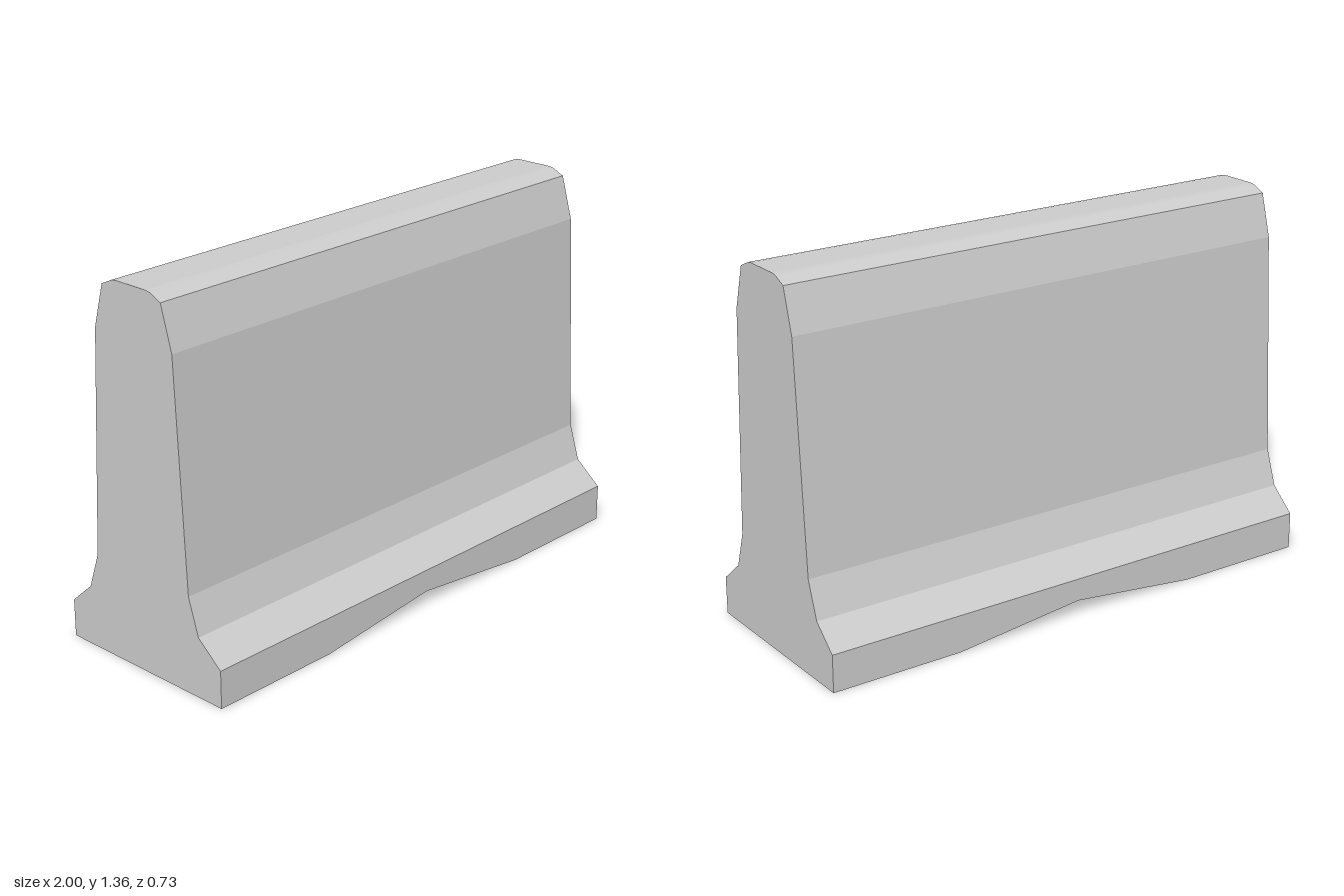
import * as THREE from 'three';

// Cross-section of the barrier: [z, y], front foot up over the top to the back foot
const PROFILE = [
  [0.366, 0], [0.366, 0.138], [0.265, 0.222], [0.223, 0.355], [0.183, 1.175],
  [0.138, 1.332], [0.09, 1.354], [0.07, 1.357], [-0.07, 1.357], [-0.09, 1.354],
  [-0.138, 1.332], [-0.181, 1.175], [-0.226, 0.355], [-0.272, 0.222],
  [-0.366, 0.138], [-0.366, 0],
];
const LENGTH = 2;
const NOTCH_HALF = 0.5;
const NOTCH_HEIGHT = 0.055;

export function createModel() {
  const group = new THREE.Group();
  group.name = 'roadBarrier';

  // Extrude the section along x, with rows of vertices at the notch ends and peak
  const shape = new THREE.Shape(PROFILE.map(([z, y]) => new THREE.Vector2(-z, y)));
  const geometry = new THREE.ExtrudeGeometry(shape, { depth: LENGTH, steps: 4, bevelEnabled: false });
  geometry.rotateY(Math.PI / 2);
  geometry.translate(-LENGTH / 2, 0, 0);

  // Raise the underside into a shallow drainage notch
  const pos = geometry.attributes.position;
  for (let i = 0; i < pos.count; i++) {
    if (pos.getY(i) < 0.001) {
      pos.setY(i, NOTCH_HEIGHT * Math.max(0, 1 - Math.abs(pos.getX(i)) / NOTCH_HALF));
    }
  }
  geometry.computeVertexNormals();

  const barrier = new THREE.Mesh(
    geometry,
    new THREE.MeshStandardMaterial({ color: 0xcccccc, flatShading: true }),
  );
  barrier.name = 'barrierBody';
  group.add(barrier);
  return group;
}
